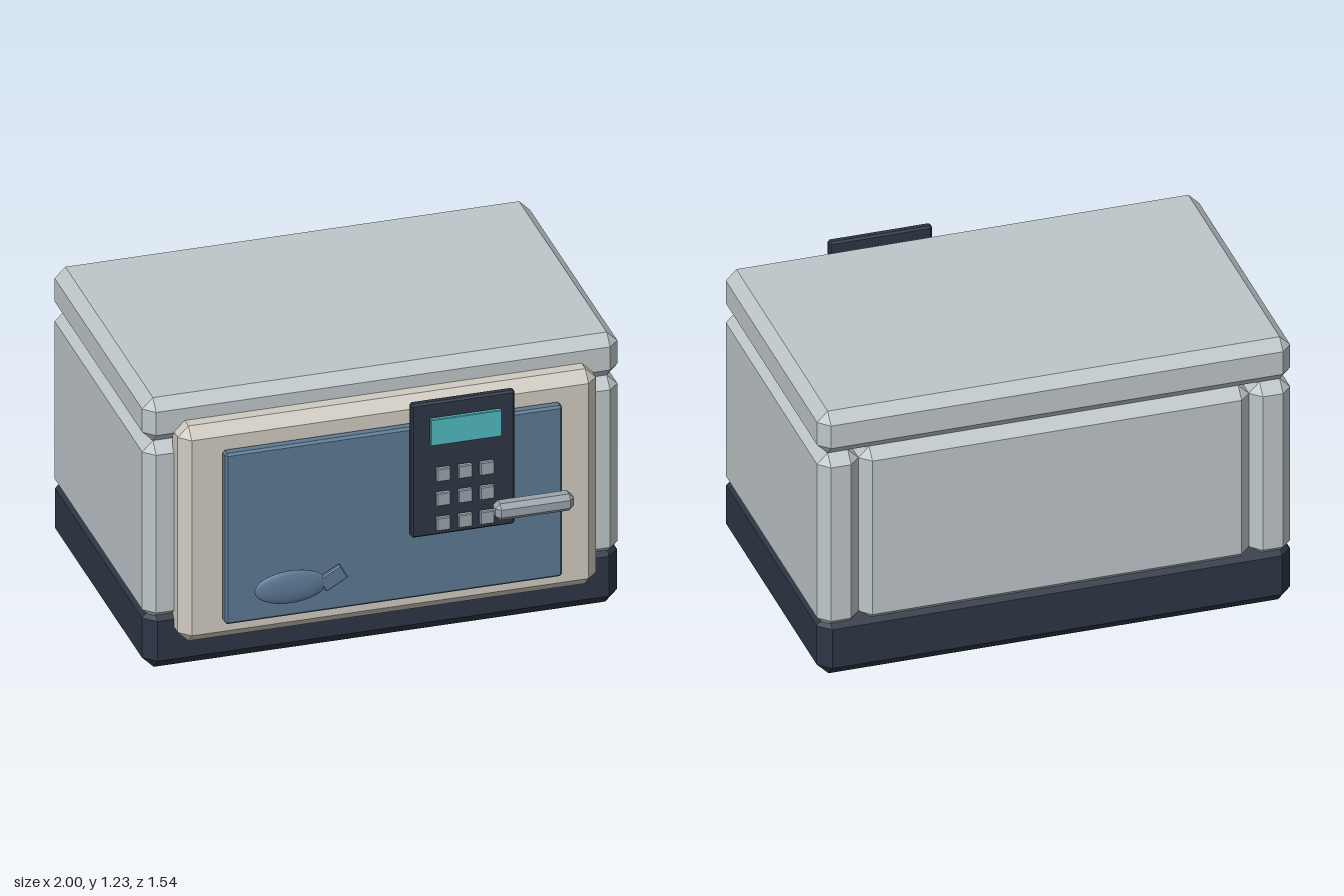
import * as THREE from 'three';
import { ConvexGeometry } from 'three/addons/geometries/ConvexGeometry.js';

const mat = (color) => new THREE.MeshStandardMaterial({ color });
const shell = mat(0xbec6c9), dark = mat(0x2c3644), cream = mat(0xcfcac0);
const blue = mat(0x5b7893), teal = mat(0x4fb8be), metal = mat(0x9aa4aa);

// Box with every edge cut at 45 degrees, as the hull of its 24 corner points
function chamferBox(w, h, d, c) {
  const pts = [];
  for (const sx of [-1, 1]) for (const sy of [-1, 1]) for (const sz of [-1, 1]) {
    const x = w / 2, y = h / 2, z = d / 2;
    pts.push(
      new THREE.Vector3(sx * x, sy * (y - c), sz * (z - c)),
      new THREE.Vector3(sx * (x - c), sy * y, sz * (z - c)),
      new THREE.Vector3(sx * (x - c), sy * (y - c), sz * z));
  }
  return new ConvexGeometry(pts);
}

export function createModel() {
  const model = new THREE.Group();
  model.name = 'safe';

  // Adds a chamfered block given its extents on each axis
  function block(name, material, [x0, x1], [y0, y1], [z0, z1], c, parent = model) {
    const mesh = new THREE.Mesh(chamferBox(x1 - x0, y1 - y0, z1 - z0, c), material);
    mesh.position.set((x0 + x1) / 2, (y0 + y1) / 2, (z0 + z1) / 2);
    mesh.name = name;
    parent.add(mesh);
    return mesh;
  }

  // Cabinet: base, lid, side walls and back wall
  const depth = [-0.77, 0.505], wallY = [0.225, 1.03];
  block('base', dark, [-1, 1], [0, 0.28], depth, 0.05);
  block('lid', shell, [-1, 1], [1.03, 1.225], depth, 0.045);
  block('leftWall', shell, [0.825, 1], wallY, depth, 0.045);
  block('rightWall', shell, [-1, -0.825], wallY, depth, 0.045);
  block('backWall', shell, [-0.825, 0.825], wallY, [-0.77, -0.6], 0.045);

  // Door with its inset panel
  block('door', cream, [-0.88, 0.88], [0.15, 1.125], [0.44, 0.6], 0.045);
  block('doorPanel', blue, [-0.71, 0.71], [0.25, 1.025], [0.605, 0.655], 0.01);

  // Keypad with display and a 3 x 3 grid of buttons
  const keypad = new THREE.Group();
  keypad.name = 'keypad';
  model.add(keypad);
  block('keypadPlate', dark, [0.06, 0.495], [0.545, 1.15], [0.662, 0.698], 0.008, keypad);
  block('display', teal, [0.13, 0.43], [0.97, 1.09], [0.713, 0.733], 0.003, keypad);
  for (const x of [0.185, 0.277, 0.369]) for (const y of [0.61, 0.722, 0.833])
    block('button', metal, [x - 0.03, x + 0.03], [y - 0.03, y + 0.03], [0.711, 0.733], 0.004, keypad);

  // Door handle
  block('handle', metal, [0.395, 0.725], [0.602, 0.677], [0.7, 0.775], 0.02);

  // Flat oval emblem with a small tilted tail
  const emblem = new THREE.Group();
  emblem.name = 'emblem';
  model.add(emblem);
  const oval = new THREE.Mesh(new THREE.SphereGeometry(1, 28, 16), blue);
  oval.name = 'emblemOval';
  oval.scale.set(0.153, 0.073, 0.022);
  oval.position.set(-0.443, 0.397, 0.68);
  emblem.add(oval);
  const tail = block('emblemTail', blue, [-0.32, -0.212], [0.376, 0.446], [0.668, 0.69], 0.005, emblem);
  tail.rotation.z = 0.52;

  return model;
}
